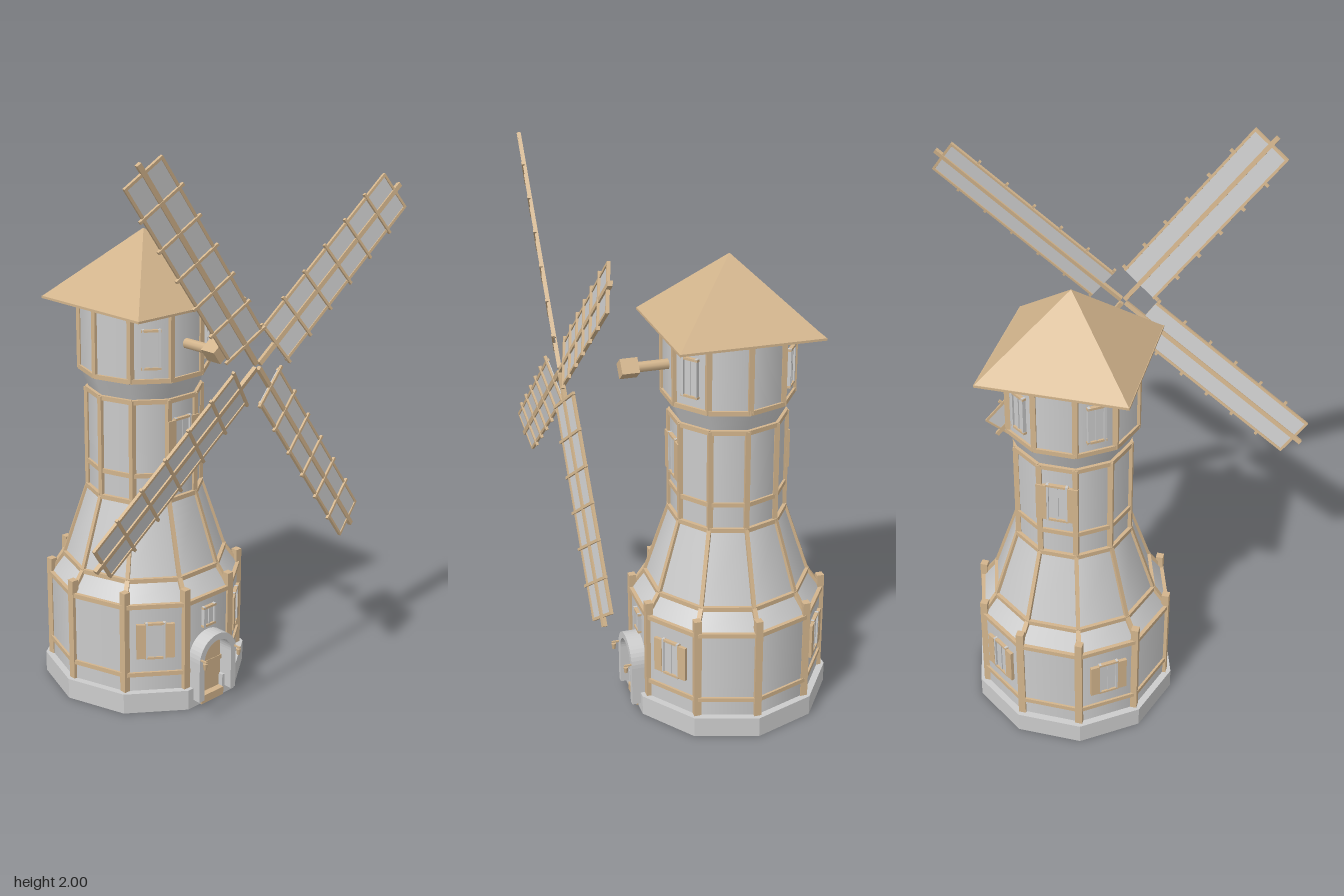
import * as THREE from 'three';

const grey = new THREE.MeshStandardMaterial({ color: 0xcccccc });
const stone = new THREE.MeshStandardMaterial({ color: 0xcccccc, flatShading: true });
const cloth = new THREE.MeshStandardMaterial({ color: 0xcccccc, side: THREE.DoubleSide });
const wood = new THREE.MeshStandardMaterial({ color: 0xd2b48c });
const roofWood = new THREE.MeshStandardMaterial({ color: 0xd2b48c, flatShading: true });
const glass = new THREE.MeshStandardMaterial({ color: 0xffffff });

const SIDES = 10;
const STEP = (Math.PI * 2) / SIDES;
const APOTHEM = Math.cos(STEP / 2);

function add(parent, name, geometry, material, x = 0, y = 0, z = 0) {
  const mesh = new THREE.Mesh(geometry, material);
  mesh.name = name;
  mesh.position.set(x, y, z);
  parent.add(mesh);
  return mesh;
}

const box = (parent, name, w, h, d, material, x, y, z) =>
  add(parent, name, new THREE.BoxGeometry(w, h, d), material, x, y, z);

// Corner i of the ten-sided tower
function corner(i, r, y) {
  const a = (i + 0.5) * STEP;
  return new THREE.Vector3(Math.sin(a) * r, y, Math.cos(a) * r);
}

// Square timber between two points
function beam(parent, name, a, b, w) {
  const mesh = box(parent, name, w, w, a.distanceTo(b), wood);
  mesh.position.copy(a).lerp(b, 0.5);
  mesh.lookAt(b);
  return mesh;
}

// Group sitting on wall face i, with +z pointing outwards
function onFace(parent, name, i, r, y) {
  const group = new THREE.Group();
  group.name = name;
  group.rotation.y = i * STEP;
  group.position.set(Math.sin(i * STEP) * r * APOTHEM, y, Math.cos(i * STEP) * r * APOTHEM);
  parent.add(group);
  return group;
}

function addWindow(parent, i, r, y, w, h, shutter) {
  const g = onFace(parent, 'window', i, r, y);
  box(g, 'pane', w, h, 0.008, glass, 0, 0, 0.002);
  box(g, 'mullion', 0.007, h, 0.014, grey, 0, 0, 0.003);
  for (const s of [-1, 1]) {
    box(g, 'jamb', 0.008, h + 0.01, 0.018, grey, s * w / 2, 0, 0.004);
    box(g, 'sill', w + 0.012, 0.008, 0.018, wood, 0, s * h / 2, 0.004);
    if (shutter) box(g, 'shutter', shutter, h, 0.012, wood, s * (w / 2 + shutter / 2 + 0.003), 0, 0.008);
  }
}

// Ten-sided plinth with a notch for the doorway
function addPlinth(tower) {
  const shape = new THREE.Shape();
  for (let i = 0; i < SIDES; i++) {
    const p = corner(i, 0.37, 0);
    shape.lineTo(p.x, -p.z);
    if (i === SIDES - 1) {
      const front = -0.37 * APOTHEM;
      shape.lineTo(-0.055, front).lineTo(-0.055, -0.32).lineTo(0.055, -0.32).lineTo(0.055, front);
    } else if (i === 0) {
      shape.curves.shift();
      shape.moveTo(p.x, -p.z);
    }
  }
  shape.closePath();
  const geometry = new THREE.ExtrudeGeometry(shape, { depth: 0.075, bevelEnabled: false });
  geometry.rotateX(-Math.PI / 2);
  add(tower, 'plinth', geometry, stone);
}

function addDoorway(tower) {
  const door = new THREE.Group();
  door.name = 'doorway';
  tower.add(door);
  const arched = (r, top) => new THREE.Shape()
    .moveTo(r, 0).lineTo(r, top).absarc(0, top, r, 0, Math.PI, false).lineTo(-r, 0);
  const surround = arched(0.09, 0.15);
  surround.moveTo(0.09, 0);
  const hole = arched(0.066, 0.15);
  // Stone arch is one closed band: outer outline, then the opening back again
  const pts = [...surround.getPoints(10), ...hole.getPoints(10).reverse()];
  add(door, 'doorArch', new THREE.ExtrudeGeometry(new THREE.Shape(pts),
    { depth: 0.065, bevelEnabled: false }), stone, 0, 0.03, 0.318);
  add(door, 'door', new THREE.ExtrudeGeometry(arched(0.06, 0.18),
    { depth: 0.012, bevelEnabled: false }), wood, 0, 0.01, 0.322);
  box(door, 'doorStep', 0.11, 0.03, 0.04, wood, 0, 0.015, 0.338);
  // Lanterns on brackets
  for (const s of [-1, 1]) {
    const x = s * 0.083;
    box(door, 'lanternBracket', 0.006, 0.006, 0.04, wood, x, 0.195, 0.39);
    add(door, 'lantern', new THREE.CylinderGeometry(0.009, 0.006, 0.022, 6), wood, x, 0.178, 0.403);
  }
}

function createTower() {
  const tower = new THREE.Group();
  tower.name = 'tower';
  addPlinth(tower);

  // Walls: [bottom y, bottom radius, top y, top radius]
  const walls = [
    [0.07, 0.345, 0.4, 0.345], [0.4, 0.345, 0.475, 0.29], [0.475, 0.29, 0.735, 0.205],
    [0.735, 0.2, 1.1, 0.2], [1.1, 0.195, 1.17, 0.224], [1.17, 0.224, 1.42, 0.224],
  ];
  for (const [y0, r0, y1, r1] of walls) {
    add(tower, 'wall', new THREE.CylinderGeometry(r1, r0, y1 - y0, SIDES, 1, false, STEP / 2),
      grey, 0, (y0 + y1) / 2, 0);
  }

  // Horizontal timber rings: [y, radius]
  const rings = [[0.14, 0.345], [0.4, 0.345], [0.475, 0.292], [0.735, 0.205],
    [0.83, 0.2], [1.095, 0.2], [1.175, 0.224], [1.405, 0.222]];
  // Corner timbers: [y0, r0, y1, r1, width]
  const posts = [[0.075, 0.34, 0.455, 0.34, 0.026], [0.4, 0.345, 0.475, 0.292, 0.016],
    [0.475, 0.292, 0.735, 0.205, 0.014], [0.735, 0.2, 1.1, 0.2, 0.018], [1.17, 0.222, 1.41, 0.222, 0.018]];
  for (let i = 0; i < SIDES; i++) {
    for (const [y, r] of rings) beam(tower, 'ringTimber', corner(i, r, y), corner(i + 1, r, y), 0.016);
    for (const [y0, r0, y1, r1, w] of posts) {
      beam(tower, 'cornerPost', corner(i, r0, y0), corner(i, r1, y1), w);
    }
  }

  // Windows
  for (const i of [1, 4, 6, 9]) {
    addWindow(tower, i, 0.345, 0.27, 0.062, 0.13, 0.033);
    addWindow(tower, i, 0.224, 1.285, 0.055, 0.13, 0);
  }
  for (const i of [0, 5]) addWindow(tower, i, 0.2, 0.955, 0.066, 0.14, 0.036);
  addWindow(tower, 0, 0.345, 0.325, 0.05, 0.07, 0);
  addDoorway(tower);

  // Square pyramid roof with a thin eaves board
  const roof = new THREE.CylinderGeometry(0.002, 0.25 * Math.SQRT2, 0.24, 4, 1, false, Math.PI / 4);
  add(tower, 'roof', roof, roofWood, 0, 1.533, 0);
  box(tower, 'eaves', 0.5, 0.008, 0.5, wood, 0, 1.411, 0);

  // Windshaft
  const shaft = add(tower, 'windshaft', new THREE.CylinderGeometry(0.018, 0.018, 0.16, 10), wood, 0, 1.292, 0.265);
  shaft.rotation.x = Math.PI / 2;
  box(tower, 'shaftHead', 0.054, 0.054, 0.06, wood, 0, 1.292, 0.35).rotation.z = 0.64;
  return tower;
}

// One sail along +x, pitched about its own arm
function createSail() {
  const sail = new THREE.Group();
  sail.name = 'sail';
  box(sail, 'sailArm', 0.835, 0.016, 0.014, wood, 0.428, 0, 0);
  box(sail, 'sailCloth', 0.72, 0.142, 0.003, cloth, 0.455, 0, 0);
  for (const s of [-1, 1]) box(sail, 'sailEdge', 0.72, 0.009, 0.01, wood, 0.455, s * 0.071, 0);
  for (let i = 0; i < 6; i++) {
    box(sail, 'sailBar', 0.009, 0.175, 0.01, wood, 0.1 + i * 0.12, 0, 0.004);
  }
  box(sail, 'sailEndBar', 0.009, 0.15, 0.01, wood, 0.812, 0, 0);
  sail.rotation.x = -0.2;
  return sail;
}

export function createModel() {
  const model = new THREE.Group();
  model.name = 'windmill';
  const tower = createTower();
  tower.position.set(0.035, 0, -0.12);
  model.add(tower);

  const sails = new THREE.Group();
  sails.name = 'sails';
  sails.position.set(0, 1.295, 0.452);
  for (let i = 0; i < 4; i++) {
    const arm = new THREE.Group();
    arm.name = 'sailMount';
    arm.rotation.z = 0.637 + (i * Math.PI) / 2;
    arm.add(createSail());
    sails.add(arm);
  }
  model.add(sails);
  return model;
}
